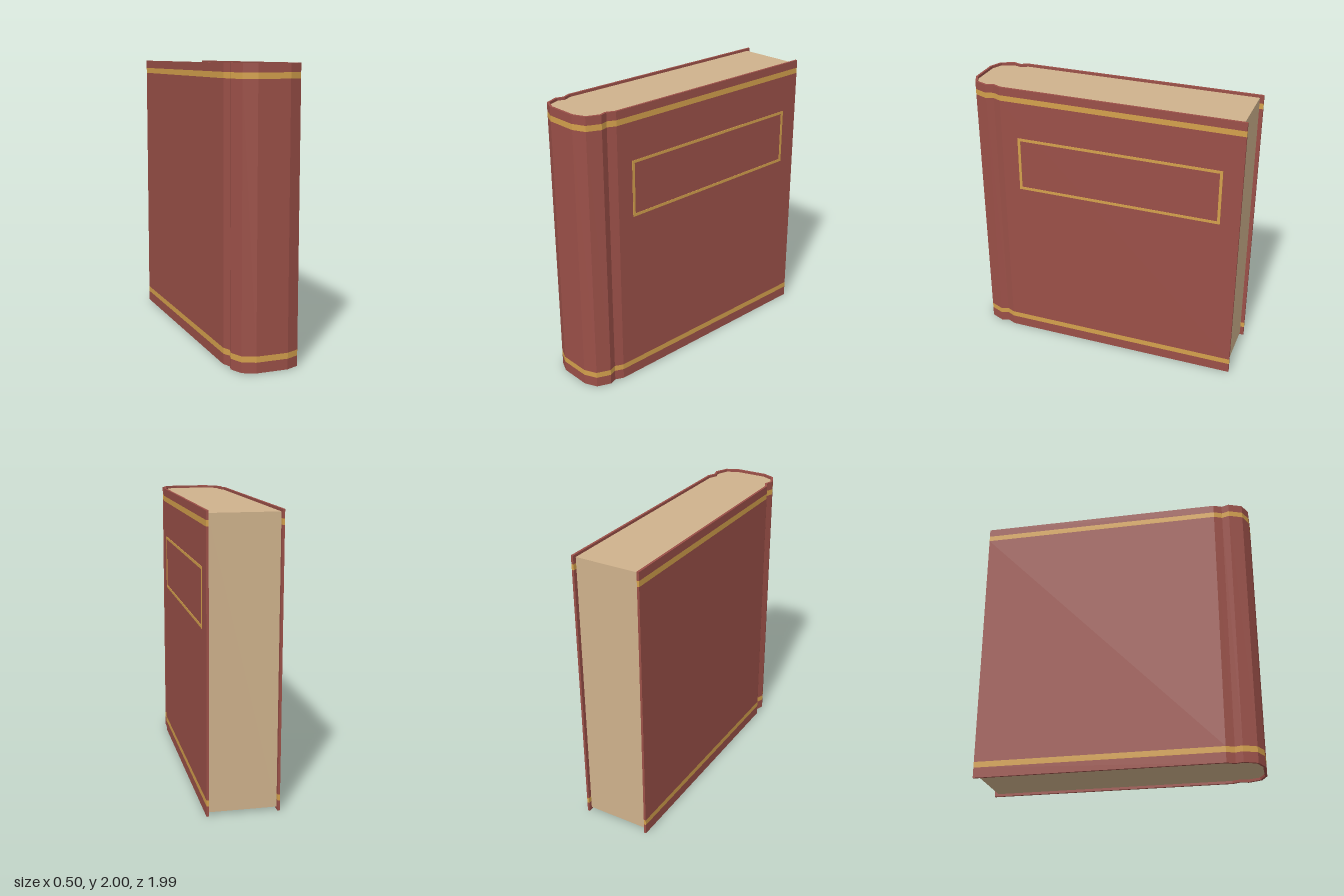
import * as THREE from 'three';

const leather = new THREE.MeshStandardMaterial({ color: 0x9b5048 });
const gold = new THREE.MeshStandardMaterial({ color: 0xd4a04c });
const paper = new THREE.MeshStandardMaterial({ color: 0xcfb28c });

// Half cross-sections as [x, z], from fore-edge to spine
const outer = [[0.248, -0.997], [0.248, 0.747], [0.222, 0.805], [0.24, 0.858], [0.2, 0.953], [0.112, 0.993]];
const inner = [[0.232, -0.997], [0.232, 0.744], [0.206, 0.803], [0.223, 0.854], [0.189, 0.941], [0.108, 0.977]];

// Right half followed by its mirror image, giving an open U
const mirrored = (half) => [...half, ...half.map(([x, z]) => [-x, z]).reverse()];

// Extrude an [x, z] outline upwards between two heights
function slab(name, outline, y0, y1, material) {
  const shape = new THREE.Shape(outline.map(([x, z]) => new THREE.Vector2(x, -z)));
  const geometry = new THREE.ExtrudeGeometry(shape, { depth: y1 - y0, bevelEnabled: false });
  geometry.rotateX(-Math.PI / 2).translate(0, y0, 0);
  const mesh = new THREE.Mesh(geometry, material);
  mesh.name = name;
  return mesh;
}

export function createModel() {
  const book = new THREE.Group();
  book.name = 'book';

  // Cover wrapped round the spine, with gilt bands near top and bottom
  const coverOutline = [...mirrored(outer), ...mirrored(inner).reverse()];
  const cover = new THREE.Group();
  cover.name = 'cover';
  const heights = [0, 0.073, 0.114, 1.902, 1.942, 2];
  for (let i = 0; i < 5; i++) {
    const isBand = i % 2 === 1;
    cover.add(slab(isBand ? 'giltBand' : 'coverLeather', coverOutline, heights[i], heights[i + 1], isBand ? gold : leather));
  }
  book.add(cover);

  // Page block, set in slightly at the fore-edge, top and bottom
  const pageHalf = [[inner[0][0], -0.97], ...inner.slice(1)];
  book.add(slab('pageBlock', mirrored(pageHalf), 0.018, 1.982, paper));

  // Gilt frame on one board
  const frame = new THREE.Group();
  frame.name = 'titleFrame';
  const [z0, z1, y0, y1, w, depth] = [-0.86, 0.626, 1.234, 1.636, 0.02, 0.006];
  const bar = (name, height, length, y, z) => {
    const mesh = new THREE.Mesh(new THREE.BoxGeometry(depth, height, length), gold);
    mesh.position.set(0.248, y, z);
    mesh.name = name;
    frame.add(mesh);
  };
  for (const y of [y0 + w / 2, y1 - w / 2]) bar('frameRail', w, z1 - z0, y, (z0 + z1) / 2);
  for (const z of [z0 + w / 2, z1 - w / 2]) bar('frameStile', y1 - y0 - 2 * w, w, (y0 + y1) / 2, z);
  book.add(frame);

  return book;
}
